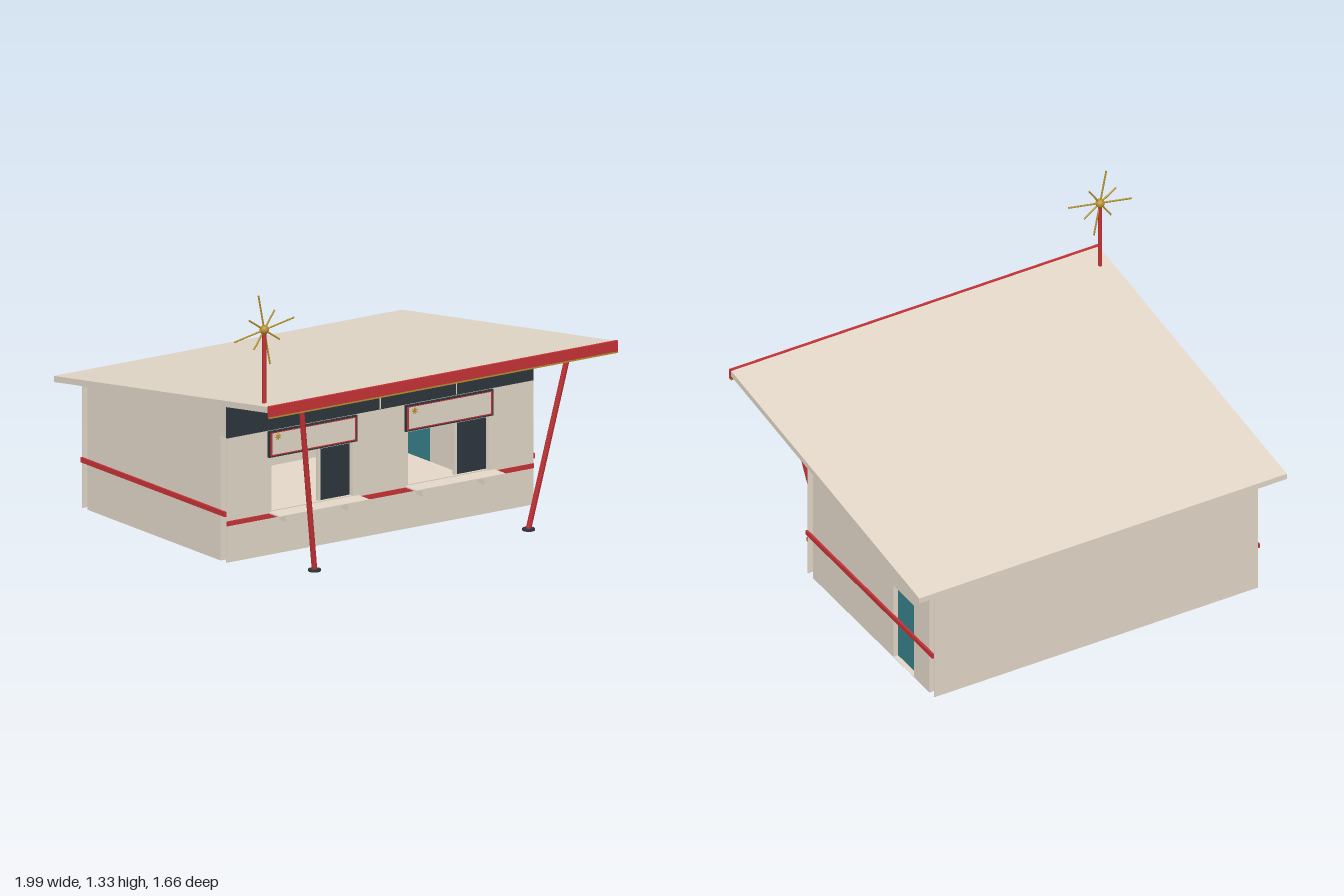
import * as THREE from 'three';

const mat = (name, color) => {
  const m = new THREE.MeshStandardMaterial({ color });
  m.name = name;
  return m;
};

export function createModel() {
  const root = new THREE.Group();
  root.name = 'kiosk';
  const plaster = mat('plaster', 0xe2d7c8);
  const red = mat('red paint', 0xc63236);
  const dark = mat('dark glass', 0x2d353d);
  const teal = mat('teal door', 0x387f88);
  const gold = mat('gold', 0xb8922f);

  const add = (name, geo, material, parent = root) => {
    const mesh = new THREE.Mesh(geo, material);
    mesh.name = name;
    parent.add(mesh);
    return mesh;
  };
  // Box given by its min and max on each axis
  const box = (name, m, x0, x1, y0, y1, z0, z1, parent) => {
    const b = add(name, new THREE.BoxGeometry(x1 - x0, y1 - y0, z1 - z0), m, parent);
    b.position.set((x0 + x1) / 2, (y0 + y1) / 2, (z0 + z1) / 2);
    return b;
  };
  const rod = (name, m, a, b, r, sides = 12, parent) => {
    const d = b.clone().sub(a);
    const mesh = add(name, new THREE.CylinderGeometry(r, r, d.length(), sides), m, parent);
    mesh.position.copy(a).addScaledVector(d, 0.5);
    mesh.quaternion.setFromUnitVectors(new THREE.Vector3(0, 1, 0), d.normalize());
    return mesh;
  };
  const V = (x, y, z) => new THREE.Vector3(x, y, z);
  const poly = (pts, Type = THREE.Shape) => new Type(pts.map(p => new THREE.Vector2(...p)));
  const rect = (x0, x1, y0, y1, Type) => poly([[x0, y0], [x1, y0], [x1, y1], [x0, y1]], Type);
  const extrude = (shape, depth) => new THREE.ExtrudeGeometry(shape, { depth, bevelEnabled: false });
  const roofTop = z => 0.85 - (0.82 - z) * 0.1412;
  const roofLow = z => roofTop(z) - 0.028;

  const X0 = -0.78, X1 = 0.882, BASE = 0.006;

  // Sloping roof, profile drawn in (-z, y)
  const roof = poly([[-0.82, roofLow(0.82)], [0.83, roofLow(-0.83)], [0.83, roofTop(-0.83)], [-0.82, roofTop(0.82)]]);
  const roofMesh = add('roof', extrude(roof, 1.887).rotateY(Math.PI / 2), plaster);
  roofMesh.position.x = -0.893;
  box('fascia', red, -0.895, 0.996, 0.804, 0.853, 0.813, 0.826);
  box('fasciaTrim', gold, -0.893, 0.994, 0.797, 0.804, 0.813, 0.827);

  // Side walls, with a recessed door on the left one
  const sideShape = () => poly([[-0.29, BASE], [0.73, BASE], [0.73, 0.58], [0.77, 0.58],
    [0.77, roofLow(-0.77)], [-0.33, roofLow(0.33)], [-0.33, 0.58], [-0.29, 0.58]]);
  const doorSide = sideShape();
  doorSide.holes.push(rect(0.414, 0.594, 0.008, 0.395, THREE.Path));
  add('leftWall', extrude(doorSide, 0.03).rotateY(Math.PI / 2), plaster).position.x = X1 - 0.03;
  add('rightWall', extrude(sideShape(), 0.03).rotateY(Math.PI / 2), plaster).position.x = X0;
  box('door', teal, 0.852, 0.858, 0.008, 0.395, -0.594, -0.414);
  box('sideBand', red, X1, X1 + 0.01, 0.217, 0.24, -0.77, 0.335);
  box('sideBand', red, X0 - 0.01, X0, 0.217, 0.24, -0.77, 0.335);

  // Front wall with two serving openings, back wall and floor
  const windows = [[-0.543, -0.095], [0.197, 0.643]];
  const front = rect(X0, X1, BASE, 0.58);
  windows.forEach(([a, b]) => front.holes.push(rect(a, b, 0.2, 0.455, THREE.Path)));
  add('frontWall', extrude(front, 0.005), plaster).position.z = 0.331;
  box('backWall', plaster, X0, X1, BASE, roofLow(-0.77), -0.772, -0.768);
  box('floor', plaster, X0 + 0.02, X1 - 0.03, 0.03, 0.037, -0.765, 0.325);
  box('frontBand', red, X0, X1, 0.175, 0.196, 0.336, 0.343);

  // Clerestory glazing below the roof
  box('clerestoryGlass', dark, X0, X1, 0.577, roofLow(0.336), 0.331, 0.337);
  for (const x of [-0.366, 0.052, 0.464])
    box('clerestoryMullion', plaster, x - 0.003, x + 0.003, 0.58, roofLow(0.338), 0.332, 0.339);

  // Serving windows with shelf and sign panel
  windows.forEach(([a, b], i) => {
    const unit = new THREE.Group();
    unit.name = i ? 'leftServingWindow' : 'rightServingWindow';
    root.add(unit);
    const ring = rect(a, b, 0.2, 0.455);
    ring.holes.push(rect(a + 0.01, b - 0.006, 0.206, 0.447, THREE.Path));
    add('windowFrame', extrude(ring, 0.042), plaster, unit).position.z = 0.29;
    box('slidingPane', dark, b - 0.166, b - 0.006, 0.206, 0.447, 0.312, 0.318, unit);
    box('paneStile', plaster, b - 0.179, b - 0.166, 0.206, 0.447, 0.306, 0.322, unit);

    box('shelf', plaster, a - 0.01, b + 0.03, 0.196, 0.202, 0.32, 0.422, unit);
    for (const x of [a + 0.055, b - 0.056])
      box('shelfBracket', plaster, x - 0.005, x + 0.005, 0.156, 0.196, 0.335, 0.385, unit);

    // Sign: dark case, red border, pale face and a small gold star
    const s0 = a - 0.015, s1 = b + 0.014;
    box('signCase', dark, s0, s1, 0.455, 0.575, 0.337, 0.35, unit);
    box('signBorder', red, s0 + 0.006, s1 - 0.006, 0.461, 0.569, 0.349, 0.351, unit);
    box('signFace', plaster, s0 + 0.016, s1 - 0.016, 0.467, 0.565, 0.35, 0.353, unit);
    for (let k = 0; k < 4; k++) {
      const ray = box('signStarRay', gold, -0.016, 0.016, -0.002, 0.002, -0.001, 0.001, unit);
      ray.position.set(s0 + 0.045, 0.547, 0.3535);
      ray.rotation.z = 0.2 + k * Math.PI / 4;
    }
  });

  // Slanted front posts on round feet
  for (const s of [-1, 1]) {
    rod('post', red, V(0.053 + s * 0.58, 0.008, 0.652), V(0.053 + s * 0.722, 0.803, 0.752), 0.0125, 16);
    rod('postFoot', dark, V(0.053 + s * 0.58, 0, 0.652), V(0.053 + s * 0.58, 0.01, 0.652), 0.028, 20);
  }

  // Soffit lights
  for (const x of [-0.503, 0.052, 0.607]) {
    const y = roofLow(0.575);
    rod('soffitLight', dark, V(x, y - 0.005, 0.575), V(x, y + 0.004, 0.575), 0.022, 20);
  }

  // Starburst on its roof mast
  const hub = V(-0.836, 1.17, 0.704);
  rod('mast', red, V(hub.x, 0.82, hub.z), hub, 0.009, 12);
  add('starHub', new THREE.SphereGeometry(0.021, 20, 14), gold).position.copy(hub);
  for (let i = 0; i < 8; i++) {
    const t = (11 + 45 * i) * Math.PI / 180, r = i % 2 ? 0.1 : 0.165;
    rod('starRay', gold, hub, V(hub.x + r * Math.cos(t), hub.y + r * Math.sin(t), hub.z), 0.004, 8);
  }
  return root;
}
